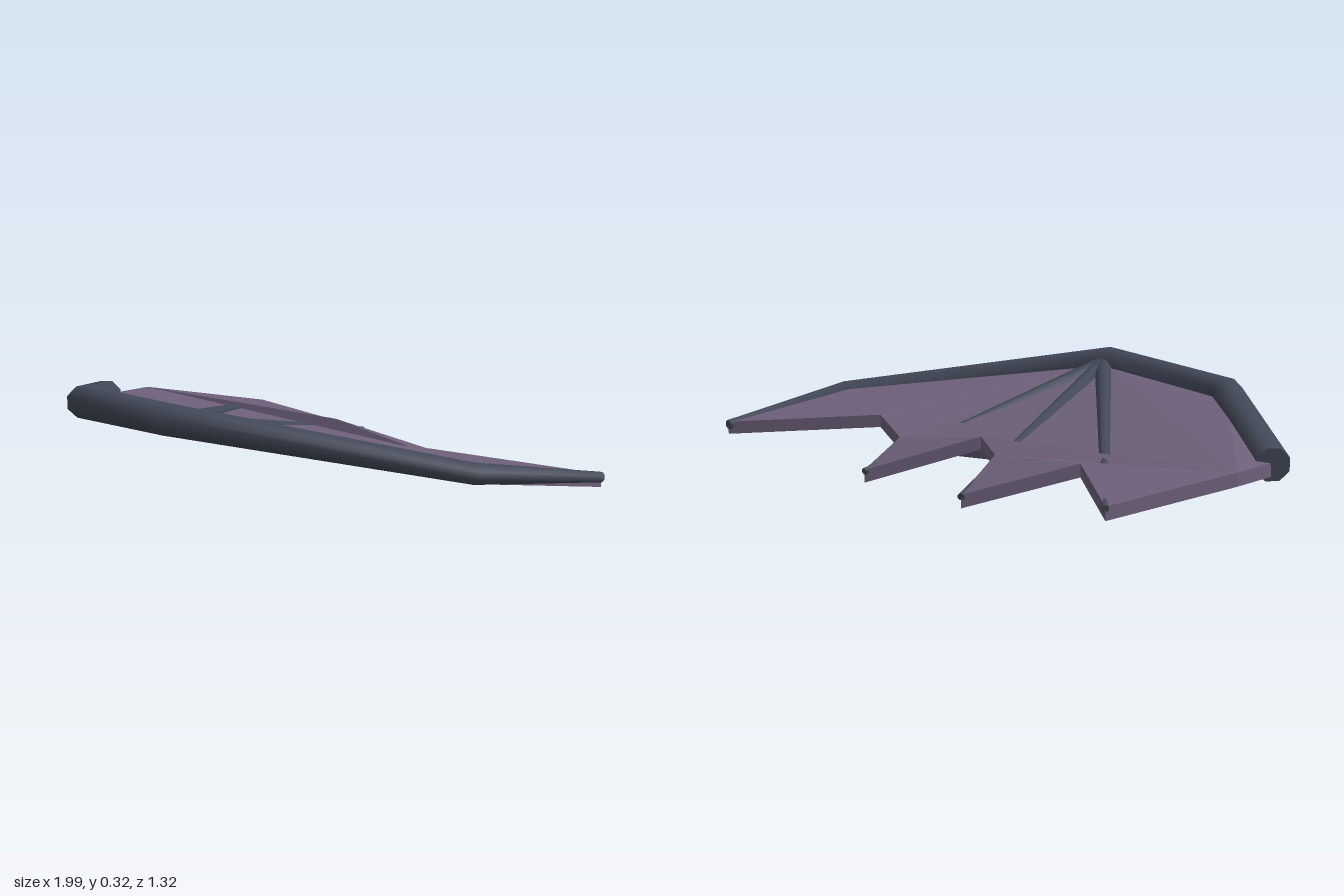
import * as THREE from 'three';

const V = (x, y, z) => new THREE.Vector3(x, y, z);

// Membrane outline, clockwise from above: x, top y, z
const outline = [
  V(-0.955, 0.14, -0.335), V(-0.73, 0.07, -0.66), V(-0.5, 0.135, -0.435), V(-0.22, 0.045, -0.63),
  V(-0.14, 0.115, -0.35), V(-0.03, 0.15, -0.27), V(0.27, 0.045, -0.46), V(0.32, 0.11, -0.22),
  V(0.5, 0.15, -0.09), V(0.98, 0.11, -0.285), V(0.87, 0.18, 0.19), V(0.08, 0.28, 0.61),
  V(-0.5, 0.24, 0.4), V(-0.955, 0.14, -0.14),
];
const folds = [
  [0, 1, 2], [0, 2, 4], [2, 3, 4], [0, 4, 5], [0, 5, 7], [5, 6, 7],
  [0, 7, 11], [7, 8, 11], [8, 10, 11], [8, 9, 10], [0, 11, 12], [0, 12, 13],
];

// Folded skin of even thickness with flat facets
function membraneGeometry(thickness) {
  const n = outline.length;
  const bottom = outline.map((p) => p.clone().setY(p.y - thickness));
  const points = [];
  for (const [a, b, c] of folds) {
    points.push(outline[c], outline[b], outline[a], bottom[a], bottom[b], bottom[c]);
  }
  for (let i = 0; i < n; i++) {
    const j = (i + 1) % n;
    points.push(bottom[j], bottom[i], outline[i], bottom[j], outline[i], outline[j]);
  }
  const geometry = new THREE.BufferGeometry().setFromPoints(points);
  geometry.computeVertexNormals();
  return geometry;
}

// Tapered bone through a path, mitred at every joint, with closed ends
function boneGeometry(path, radii, sides = 8) {
  const positions = [];
  const index = [];
  const last = path.length - 1;
  const directions = path.slice(1).map((p, i) => p.clone().sub(path[i]).normalize());
  path.forEach((p, i) => {
    const before = directions[Math.max(i - 1, 0)];
    const after = directions[Math.min(i, last - 1)];
    const tangent = before.clone().add(after).normalize();
    const side = V(0, 1, 0).cross(tangent).normalize();
    const up = tangent.clone().cross(side);
    const miter = 1 / tangent.dot(after);
    for (let k = 0; k < sides; k++) {
      const angle = ((k + 0.5) / sides) * Math.PI * 2;
      const q = p.clone()
        .addScaledVector(side, Math.cos(angle) * radii[i] * miter)
        .addScaledVector(up, Math.sin(angle) * radii[i]);
      positions.push(q.x, q.y, q.z);
    }
  });
  for (let i = 0; i < last; i++) {
    for (let k = 0; k < sides; k++) {
      const a = i * sides + k;
      const b = i * sides + ((k + 1) % sides);
      index.push(a, b, b + sides, a, b + sides, a + sides);
    }
  }
  // End caps use their own vertices so their rims stay sharp
  for (const end of [0, last]) {
    const base = positions.length / 3;
    positions.push(...positions.slice(end * sides * 3, (end + 1) * sides * 3));
    for (let k = 1; k < sides - 1; k++) {
      if (end === 0) index.push(base, base + k + 1, base + k);
      else index.push(base, base + k, base + k + 1);
    }
  }
  const geometry = new THREE.BufferGeometry();
  geometry.setAttribute('position', new THREE.Float32BufferAttribute(positions, 3));
  geometry.setIndex(index);
  geometry.computeVertexNormals();
  return geometry;
}

export function createModel() {
  const wing = new THREE.Group();
  wing.name = 'wing';

  const skin = new THREE.MeshStandardMaterial({ color: 0x6e607a });
  skin.name = 'purple skin';
  const bone = new THREE.MeshStandardMaterial({ color: 0x434959 });
  bone.name = 'slate bone';

  const add = (name, geometry, material) => {
    const mesh = new THREE.Mesh(geometry, material);
    mesh.name = name;
    wing.add(mesh);
  };

  add('membrane', membraneGeometry(0.04), skin);

  // Arm bone along the leading edge
  add('leadingBone', boneGeometry(
    [V(-0.96, 0.135, -0.14), V(-0.5, 0.24, 0.4), V(0.08, 0.285, 0.61), V(0.87, 0.17, 0.19), V(0.98, 0.1, -0.285)],
    [0.053, 0.053, 0.048, 0.032, 0.016],
  ), bone);

  // Finger bones from the wrist to the trailing points
  [1, 3, 6].forEach((tip, i) => {
    const end = outline[tip].clone();
    end.y -= 0.006;
    add(`fingerBone${i + 1}`, boneGeometry([V(0.08, 0.272, 0.58), end], [0.03, 0.011]), bone);
  });

  return wing;
}
